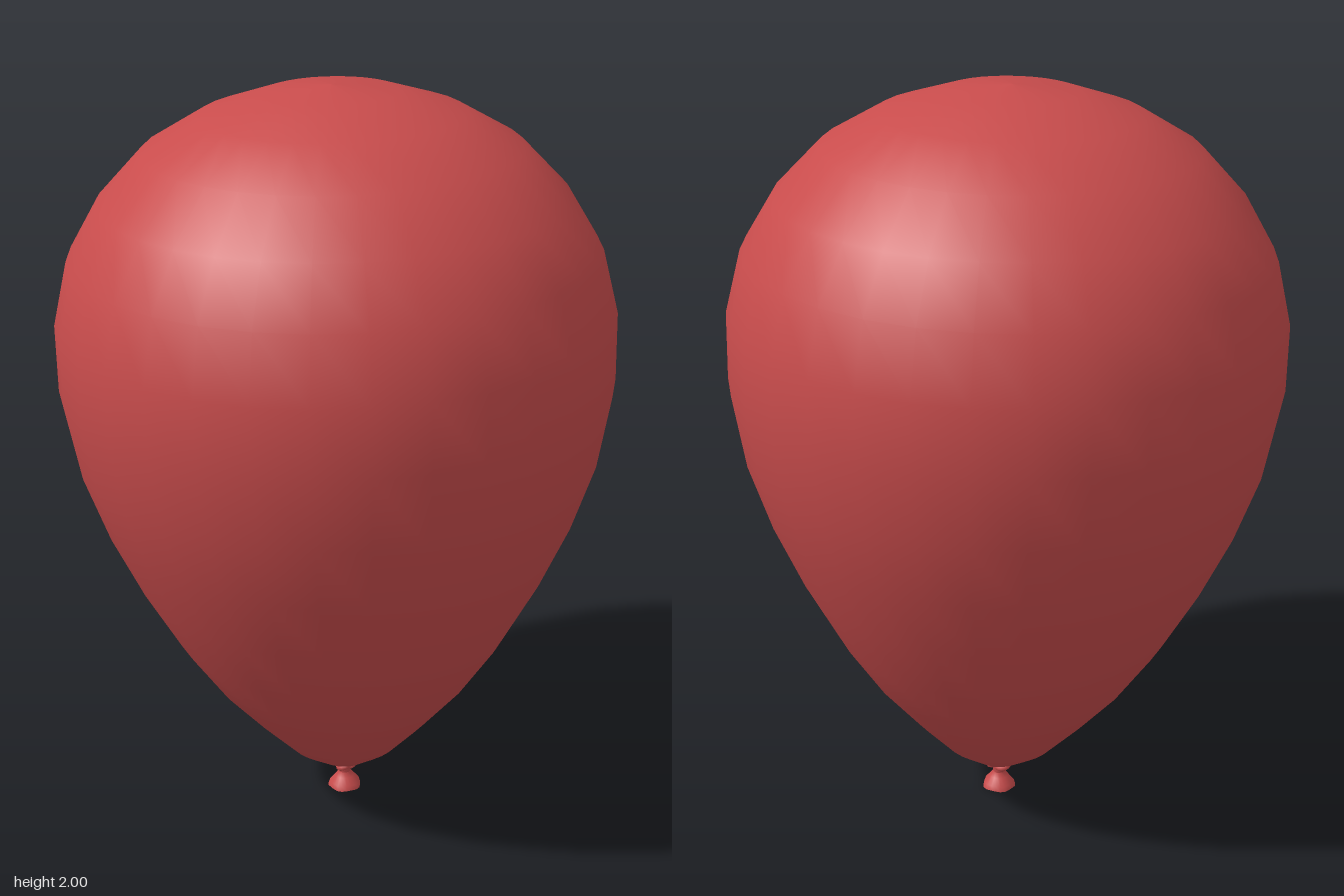
import * as THREE from 'three';

export function createModel() {
  const model = new THREE.Group();
  const rubber = new THREE.MeshStandardMaterial({ color: 0xc84c4c });
  const thinRubber = new THREE.MeshStandardMaterial({ color: 0xc84c4c, side: THREE.DoubleSide });

  // Everything leans slightly about the middle of the balloon
  const PIVOT = 1.3;
  const lean = new THREE.Group();
  lean.name = 'balloon';
  lean.position.y = PIVOT;
  lean.rotation.z = 0.022;
  model.add(lean);

  const add = (name, geometry, material, y = 0) => {
    const mesh = new THREE.Mesh(geometry, material);
    mesh.name = name;
    mesh.position.y = y - PIVOT;
    lean.add(mesh);
    return mesh;
  };
  // Revolve [radius, height] pairs, listed from bottom to top
  const lathe = (profile, sides) => new THREE.LatheGeometry(
    profile.map(([r, y]) => new THREE.Vector2(r, y)), sides, Math.PI / sides);

  // Teardrop body
  add('body', lathe([
    [0, 0.093], [0.07, 0.1], [0.157, 0.16], [0.247, 0.255], [0.351, 0.375],
    [0.45, 0.52], [0.542, 0.685], [0.623, 0.86], [0.686, 1.04], [0.722, 1.235],
    [0.722, 1.412], [0.682, 1.58], [0.6, 1.72], [0.482, 1.845], [0.337, 1.93],
    [0.172, 1.984], [0, 2],
  ], 32), rubber);

  // Neck running through the knot
  add('neck', new THREE.CylinderGeometry(0.025, 0.016, 0.065, 12), rubber, 0.075);

  // Rubber wound round the neck
  const knot = add('knot', new THREE.TorusKnotGeometry(0.019, 0.009, 48, 8, 2, 3), rubber, 0.076);
  knot.rotation.x = Math.PI / 2;

  // Flared, open mouth with a ruffled rim
  const mouth = lathe([[0.045, 0.004], [0.041, 0.017], [0.026, 0.036], [0.016, 0.05], [0.018, 0.06]], 20);
  const p = mouth.attributes.position;
  for (let i = 0; i < p.count; i++) {
    const x = p.getX(i), z = p.getZ(i);
    const ruffle = 1 + 0.05 * Math.cos(5 * Math.atan2(z, x)) * Math.hypot(x, z) / 0.045;
    p.setXYZ(i, x * ruffle, p.getY(i), z * ruffle);
  }
  add('mouth', mouth, thinRubber);

  return model;
}
